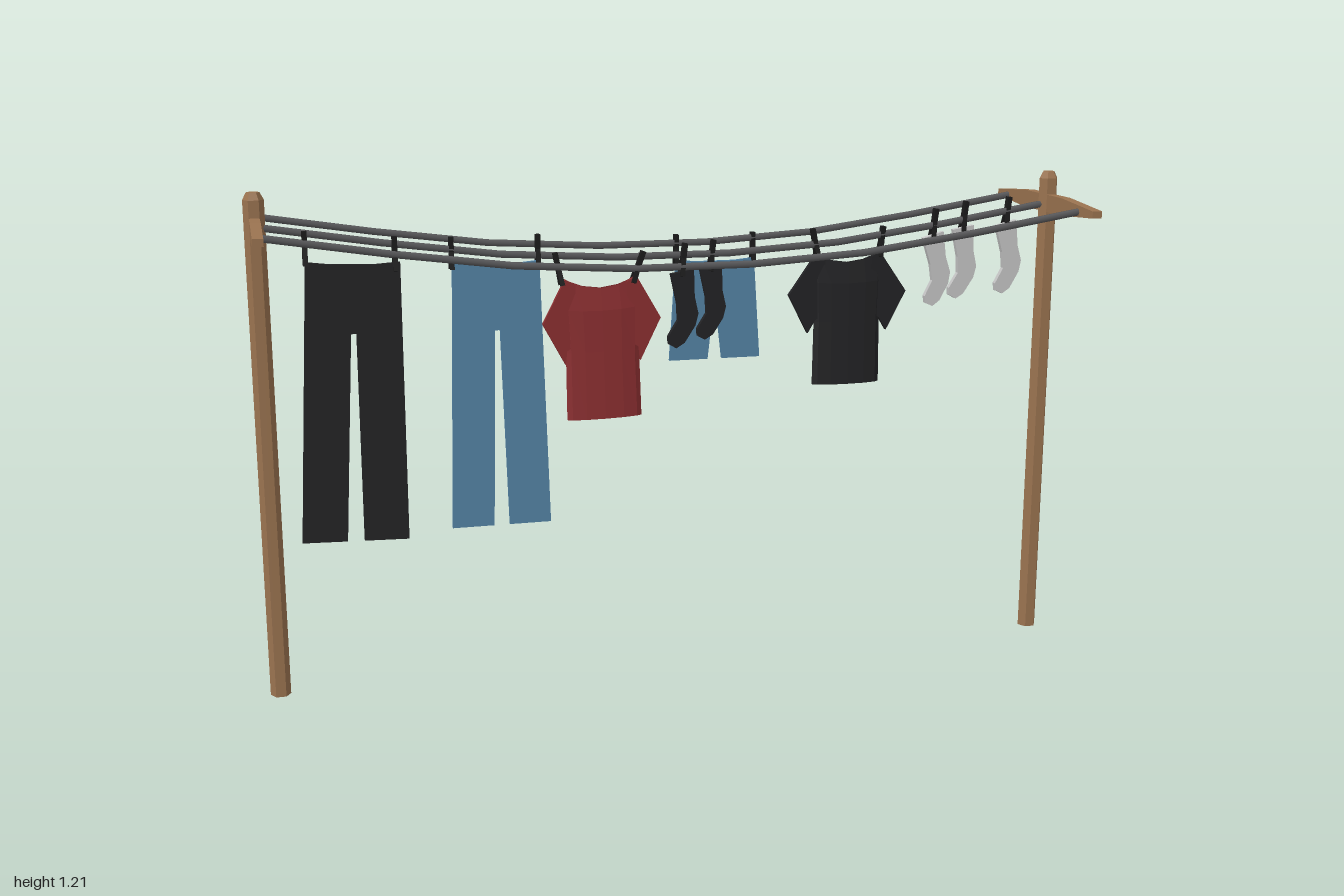
import * as THREE from 'three';

const mat = (name, color, extra = {}) => new THREE.MeshStandardMaterial({ name, color, ...extra });

export function createModel() {
  const wood = mat('wood', 0x9a7350, { flatShading: true });
  const ropeGrey = mat('rope grey', 0x58585a);
  const pegBlack = mat('peg black', 0x1a1a1a);
  const black = mat('black cloth', 0x232325, { side: THREE.DoubleSide });
  const blue = mat('denim blue', 0x5484a6, { side: THREE.DoubleSide });
  const red = mat('red cloth', 0x8c2f31, { side: THREE.DoubleSide });
  const white = mat('white cloth', 0xc6c6c6, { side: THREE.DoubleSide });

  const model = new THREE.Group();
  model.name = 'clothesline';

  const add = (parent, name, geo, material, x = 0, y = 0, z = 0) => {
    const m = new THREE.Mesh(geo, material);
    m.name = name;
    m.position.set(x, y, z);
    parent.add(m);
    return m;
  };
  const group = (name, x, y, z, tilt = 0) => {
    const g = new THREE.Group();
    g.name = name;
    g.position.set(x, y, z);
    g.rotation.z = tilt;
    model.add(g);
    return g;
  };
  // Flat outline given thickness, centred on z = 0
  const plate = (pts, depth) => new THREE.ExtrudeGeometry(
    new THREE.Shape(pts.map(([x, y]) => new THREE.Vector2(x, y))),
    { depth, bevelEnabled: false }).translate(0, 0, -depth / 2);

  // Posts with chamfered tops and tapered cross arms
  const armPts = [[-0.265, 1.117], [-0.1, 1.105], [0.1, 1.105], [0.265, 1.117],
    [0.265, 1.134], [0.1, 1.148], [-0.1, 1.148], [-0.265, 1.134]];
  for (const s of [-1, 1]) {
    const end = group(s < 0 ? 'rightPost' : 'leftPost', s * 0.976, 0, 0);
    add(end, 'post', new THREE.CylinderGeometry(0.024, 0.024, 1.188, 6).rotateY(Math.PI / 6), wood, 0, 0.594);
    add(end, 'postCap', new THREE.CylinderGeometry(0.015, 0.024, 0.017, 6).rotateY(Math.PI / 6), wood, 0, 1.1965);
    add(end, 'crossArm', plate(armPts, 0.024).rotateY(Math.PI / 2), wood);
  }

  // Three sagging ropes
  const FRONT = 0.188, MID = 0, BACK = -0.205;
  const sag = [[-0.97, 1.125], [-0.43, 1.046], [0, 1.026], [0.43, 1.046], [0.97, 1.125]];
  for (const z of [FRONT, MID, BACK]) {
    const path = new THREE.CatmullRomCurve3(sag.map(([x, y]) => new THREE.Vector3(x, y, z)));
    add(model, 'rope', new THREE.TubeGeometry(path, 7, 0.009, 6), ropeGrey);
  }

  // Clothes peg: a closed head and two spread legs, its foot at (x, y)
  const peg = (x, y, z, tilt = 0) => {
    const g = group('clothesPeg', x, y, z, tilt);
    add(g, 'pegHead', new THREE.BoxGeometry(0.011, 0.034, 0.016), pegBlack, 0, 0.052);
    for (const s of [-1, 1]) {
      const leg = add(g, 'pegLeg', new THREE.BoxGeometry(0.011, 0.045, 0.006), pegBlack, 0, 0.016, s * 0.008);
      leg.rotation.x = -s * 0.2;
    }
  };

  // Trousers or shorts, origin at the middle of the waistband
  const trousers = (name, material, x, y, z, length, crotch, tilt = 0) => {
    const g = group(name, x, y, z, tilt);
    add(g, 'cloth', plate([[-0.103, 0], [-0.05, -0.005], [0.05, -0.005], [0.103, 0],
      [0.12, -length], [0.019, -length], [0.006, -crotch],
      [-0.006, -crotch], [-0.019, -length], [-0.12, -length]], 0.009), material);
  };
  trousers('blackTrousers', black, -0.774, 1.066, FRONT - 0.004, 0.638, 0.16, -0.03);
  trousers('blueTrousers', blue, -0.43, 1.028, MID, 0.643, 0.163);
  trousers('blueShorts', blue, 0.162, 0.984, BACK, 0.258, 0.143);

  // Hollow torso lofted through flattened ellipses: [y, half width, half depth, neck dip]
  const torso = (depth) => {
    const rings = [[0, 0.083, 0.006, 0.024], [-0.07, 0.09, depth * 0.8, 0.005],
      [-0.17, 0.086, depth * 0.85, 0], [-0.328, 0.088, depth, 0]];
    const n = 12, pos = [], idx = [];
    rings.forEach(([y, w, d, dip], r) => {
      for (let i = 0; i < n; i++) {
        const a = (i / n) * Math.PI * 2;
        pos.push(w * Math.cos(a), y - dip * Math.sin(a) ** 2, d * Math.sin(a));
        if (r === 0) continue;
        const j = (i + 1) % n, up = (r - 1) * n, lo = r * n;
        idx.push(up + i, up + j, lo + i, up + j, lo + j, lo + i);
      }
    });
    let geo = new THREE.BufferGeometry();
    geo.setAttribute('position', new THREE.Float32BufferAttribute(pos, 3));
    geo.setIndex(idx);
    geo = geo.toNonIndexed();
    geo.computeVertexNormals();
    return geo;
  };
  const shirt = (name, material, x, y, z, reach, depth, tilt = 0) => {
    const g = group(name, x, y, z, tilt);
    add(g, 'torso', torso(depth), material);
    for (const s of [-1, 1]) {
      const pts = [[0.06, -0.012], [0.083, 0], [reach, -0.1], [reach - 0.05, -0.197], [0.084, -0.165], [0.06, -0.15]];
      add(g, 'sleeve', plate(pts.map(([px, py]) => [s * px, py]), 0.012), material);
    }
  };
  shirt('redShirt', red, -0.219, 1.01, FRONT - 0.004, 0.138, 0.015, 0.02);
  shirt('blackShirt', black, 0.445, 1.018, MID, 0.153, 0.018);

  // Socks, origin at the middle of the cuff, toes toward -x
  const sockPts = [[-0.027, -0.006], [0.028, 0.004], [0.03, -0.06], [0.039, -0.1],
    [0.032, -0.128], [0.006, -0.168], [-0.014, -0.18], [-0.032, -0.17], [-0.033, -0.152],
    [-0.01, -0.115], [-0.012, -0.075]];
  const socks = [[-0.028, 1.018, FRONT - 0.004, black, 0], [0.092, 0.998, MID, black, 0],
    [0.667, 1.056, MID, white, 0.1], [0.747, 1.072, MID, white, 0], [0.863, 1.08, MID, white, 0.06]];
  for (const [x, y, z, material, tilt] of socks) {
    const g = group('sock', x, y, z, tilt);
    add(g, 'cloth', plate(sockPts, 0.014), material);
    peg(x, y - 0.005, z, -0.12);
  }

  // Pegs holding the larger garments
  const pegs = [[-0.876, 1.068, FRONT - 0.004], [-0.682, 1.05, FRONT - 0.004],
    [-0.534, 1.02, MID], [-0.33, 1.02, MID],
    [-0.31, 1.002, FRONT - 0.004, 0.2], [-0.142, 1.002, FRONT - 0.004, -0.35],
    [0.06, 0.98, BACK], [0.262, 0.98, BACK],
    [0.366, 1.012, MID, 0.2], [0.528, 1.012, MID, -0.12]];
  for (const p of pegs) peg(...p);

  return model;
}
